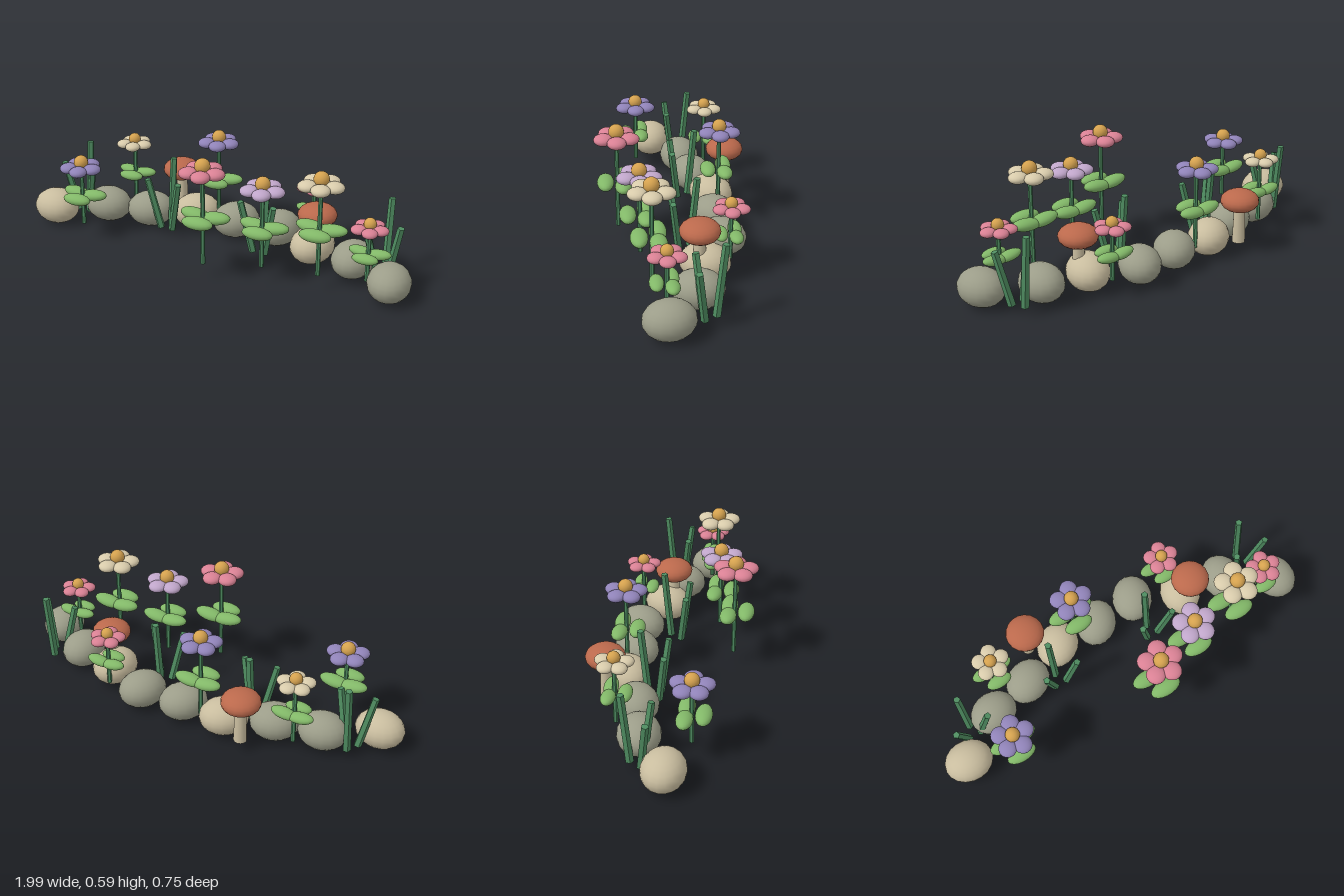
import * as THREE from 'three';

const mat = (name, color, flatShading = false) => {
  const m = new THREE.MeshStandardMaterial({ color, flatShading });
  m.name = name;
  return m;
};

export function createModel() {
  const root = new THREE.Group();
  root.name = 'flowerBorder';

  const M = {
    stone: mat('greyStone', 0x9c9d89),
    sand: mat('sand', 0xc9bd9f),
    green: mat('stemGreen', 0x4f8d61, true),
    leaf: mat('leafGreen', 0x82b868),
    pink: mat('pink', 0xd98194),
    purple: mat('purple', 0x9083b8),
    lilac: mat('lilac', 0xc0a6ca),
    cream: mat('cream', 0xd8cbab),
    yellow: mat('yellow', 0xd5a24f),
    cap: mat('mushroomRed', 0xbb694c),
  };

  const ball = new THREE.SphereGeometry(1, 18, 12);
  const add = (parent, name, geo, material, x, y, z) => {
    const mesh = new THREE.Mesh(geo, material);
    mesh.name = name;
    mesh.position.set(x, y, z);
    parent.add(mesh);
    return mesh;
  };
  const ellipsoid = (parent, name, material, pos, size) => {
    const mesh = add(parent, name, ball, material, ...pos);
    mesh.scale.set(...size);
    return mesh;
  };
  const group = (name, x = 0, z = 0) => {
    const g = new THREE.Group();
    g.name = name;
    g.position.set(x, 0, z);
    root.add(g);
    return g;
  };
  // Straight rod between two points
  const up = new THREE.Vector3(0, 1, 0);
  const rod = (parent, name, material, a, b, rTop, rBottom, sides) => {
    const dir = b.clone().sub(a);
    const geo = new THREE.CylinderGeometry(rTop, rBottom, dir.length(), sides);
    const mid = a.clone().add(b).multiplyScalar(0.5);
    const mesh = add(parent, name, geo, material, mid.x, mid.y, mid.z);
    mesh.quaternion.setFromUnitVectors(up, dir.normalize());
    return mesh;
  };

  // Arched row of stones, every third one sandy
  const stones = group('stones');
  [0.06, -0.08, -0.125, -0.205, -0.2, -0.21, -0.11, -0.06, 0.08].forEach((z, i) => {
    const s = ellipsoid(stones, 'stone', i % 3 ? M.stone : M.sand,
      [-0.884 + i * 0.2215, 0.088, z], [0.118, 0.088, 0.1]);
    s.rotation.y = i * 0.23 - 0.1;
  });

  // Flowers: x, z, petal height, size, petal colour
  const flowers = [
    [-0.665, 0.15, 0.37, 0.95, M.purple],
    [-0.57, -0.2, 0.39, 0.83, M.cream],
    [-0.108, -0.228, 0.468, 0.94, M.purple],
    [0.057, 0.265, 0.528, 1, M.pink],
    [0.31, 0.173, 0.456, 0.97, M.lilac],
    [0.4, -0.228, 0.33, 0.8, M.pink],
    [0.57, 0.133, 0.515, 0.99, M.cream],
    [0.785, 0.083, 0.33, 0.8, M.pink],
  ];
  for (const [x, z, y, s, colour] of flowers) {
    const f = group('flower', x, z);
    rod(f, 'stem', M.green, new THREE.Vector3(0, 0.073, 0), new THREE.Vector3(0, y, 0),
      0.01, 0.011, 6);
    for (let i = 0; i < 5; i++) {
      const a = (i / 5) * Math.PI * 2;
      const p = ellipsoid(f, 'petal', colour,
        [Math.cos(a) * 0.063 * s, y, Math.sin(a) * 0.063 * s], [0.046 * s, 0.026 * s, 0.045 * s]);
      p.rotation.y = -a;
    }
    ellipsoid(f, 'flowerCentre', M.yellow, [0, y + 0.03 * s, 0], [0.036 * s, 0.036 * s, 0.036 * s]);
    // Three leaves around the middle of the stem
    for (let i = 0; i < 3; i++) {
      const a = Math.PI / 2 + (i / 3) * Math.PI * 2;
      const l = ellipsoid(f, 'leaf', M.leaf,
        [Math.cos(a) * 0.055 * s, (y + 0.073) / 2, Math.sin(a) * 0.055 * s],
        [0.077 * s, 0.029 * s, 0.04 * s]);
      l.rotation.z = Math.cos(a) * 0.14;
    }
  }

  // Mushrooms
  for (const [x, z] of [[-0.346, -0.283], [0.475, -0.083]]) {
    const m = group('mushroom', x, z);
    add(m, 'mushroomStem', new THREE.CylinderGeometry(0.026, 0.032, 0.2, 12), M.sand, 0, 0.15, 0);
    ellipsoid(m, 'mushroomCap', M.cap, [0, 0.263, 0], [0.093, 0.054, 0.093]);
  }

  // Grass tufts: a tall blade leaning back and two shorter ones leaning sideways
  for (const [x, z] of [[-0.792, -0.065], [-0.305, -0.06], [0.213, -0.027], [0.805, -0.09]]) {
    const t = group('grassTuft', x, z);
    for (let i = 0; i < 3; i++) {
      const a = -Math.PI / 2 + (i / 3) * Math.PI * 2;
      const at = (r, y) => new THREE.Vector3(Math.cos(a) * r, y, Math.sin(a) * r);
      rod(t, 'grassBlade', M.green, at(0.035, 0.04), at(i ? 0.097 : 0.068, i ? 0.3 : 0.385),
        0.017, 0.019, 5);
    }
  }
  return root;
}
